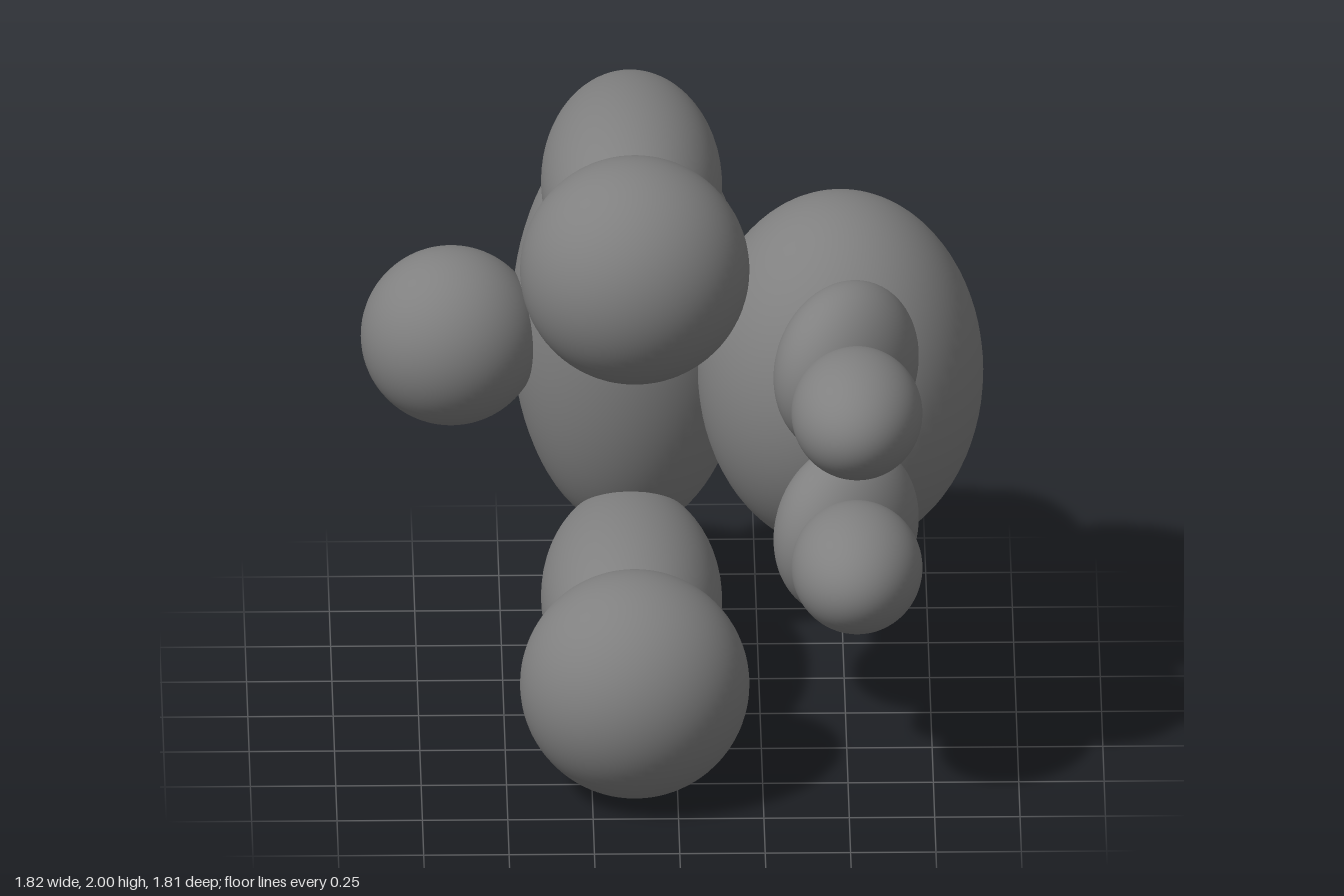
import * as THREE from 'three';

const material = new THREE.MeshStandardMaterial({ color: 0x808080 });
const MID = 1; // height of the horizontal mirror plane

function ellipsoid(name, center, radii, turn = 0) {
  const mesh = new THREE.Mesh(new THREE.SphereGeometry(1, 64, 40), material);
  mesh.name = name;
  mesh.position.set(...center);
  mesh.scale.set(...radii);
  mesh.rotation.y = turn;
  return mesh;
}

export function createModel() {
  const model = new THREE.Group();
  model.name = 'figure';

  // Single parts on the mirror plane
  model.add(
    ellipsoid('body', [-0.122, MID, -0.57], [0.349, 0.648, 0.335]),
    ellipsoid('head', [0.489, MID, -0.225], [0.418, 0.541, 0.472]),
    ellipsoid('tail', [-0.648, MID, -0.491], [0.264, 0.264, 0.264])
  );

  // Paired parts, mirrored above and below the plane
  for (const [side, s] of [['upper', 1], ['lower', -1]]) {
    model.add(
      ellipsoid(side + 'Limb', [-0.125, MID + s * 0.666, -0.088], [0.265, 0.261, 0.565]),
      ellipsoid(side + 'Foot', [-0.125, MID + s * 0.664, 0.532], [0.336, 0.336, 0.336]),
      // Ear base is a thick disc turned outward
      ellipsoid(side + 'EarBase', [0.497, MID + s * 0.259, 0.333], [0.18, 0.259, 0.259], -0.67),
      ellipsoid(side + 'EarTip', [0.524, MID + s * 0.247, 0.637], [0.192, 0.18, 0.265])
    );
  }
  return model;
}
